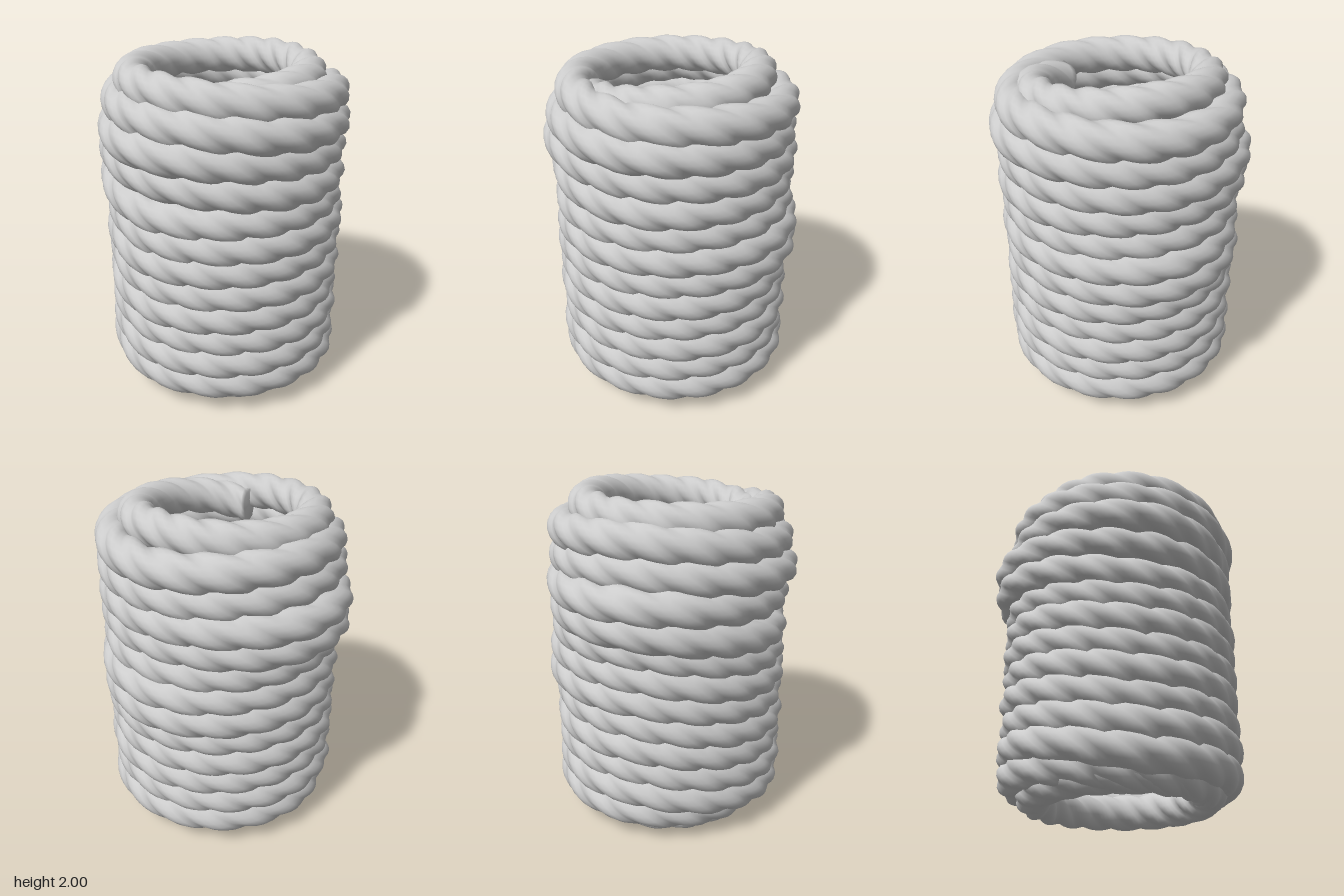
import * as THREE from 'three';

const SIDES = 20, STEPS_PER_TURN = 100;
const TWISTS_PER_TURN = 4.3, STRANDS = 4;
const PITCH = 0.1414;
const CENTRE_Z = 0.03;

// Path of the rope from the top end to the bottom end: [turn, radius, height]
// (whole turns lie at the front, quarter turns at +x)
const PATH = [
  // top loop, its end tucked inside
  [-1.2, 0.45, 1.77], [-1.1, 0.475, 1.815], [-1, 0.485, 1.845], [-0.75, 0.465, 1.89],
  [-0.5, 0.49, 1.865], [-0.25, 0.545, 1.84],
  // sagging upper coils
  [0, 0.6, 1.785], [0.25, 0.595, 1.745], [0.5, 0.595, 1.775], [0.75, 0.6, 1.7],
  [1, 0.61, 1.64], [1.25, 0.595, 1.595], [1.5, 0.595, 1.62], [1.75, 0.6, 1.55],
  [2, 0.6, 1.48], [2.25, 0.595, 1.457], [2.5, 0.6, 1.465], [2.75, 0.595, 1.385],
];
// Lower coils lie level and step down only between the back and -x
for (let n = 3; n <= 11; n++) {
  const y = 1.75 - n * PITCH;
  if (n === 3) PATH.push([3, 0.6, y]);
  else PATH.push([n - 0.25, 0.595, y]);
  PATH.push([n + 0.5, 0.595, y]);
}
// narrower foot loop
PATH.push([11.75, 0.5, 0.13], [12, 0.49, 0.125], [12.25, 0.49, 0.125],
  [12.5, 0.48, 0.11], [12.75, 0.485, 0.125], [12.95, 0.485, 0.14]);

// Loose spots where a coil bulges outwards: [turn, amount]
const BULGES = [[1, 0.02], [1.75, 0.045], [2.5, 0.085], [3.5, 0.07], [5.25, 0.045], [6.25, 0.04]];

function pathAt(turn) {
  let i = 0;
  while (i < PATH.length - 2 && turn > PATH[i + 1][0]) i++;
  const [t0, r0, y0] = PATH[i], [t1, r1, y1] = PATH[i + 1];
  const f = (turn - t0) / (t1 - t0);
  const ease = (f + f * f * (3 - 2 * f)) / 2;
  let r = r0 + (r1 - r0) * f;
  for (const [t, d] of BULGES) r += d * Math.exp(-(((turn - t) / 0.13) ** 2));
  // slight unevenness from coil to coil
  r += 0.006 * Math.sin(turn * 9.1);
  return { r, y: y0 + (y1 - y0) * ease };
}

// Sweeps a lobed, twisting cross-section along the coil
function ropeGeometry() {
  const start = PATH[0][0], end = PATH[PATH.length - 1][0];
  const rings = Math.round((end - start) * STEPS_PER_TURN);
  const pos = [], index = [];
  for (let i = 0; i <= rings; i++) {
    const turn = start + (end - start) * i / rings;
    const a = turn * Math.PI * 2;
    const { r, y } = pathAt(turn);
    for (let j = 0; j < SIDES; j++) {
      const phi = j / SIDES * Math.PI * 2;
      const lobe = Math.abs(Math.cos(STRANDS / 2 * (phi + TWISTS_PER_TURN * a)));
      const q = 0.088 + 0.022 * lobe;
      const R = r + q * Math.cos(phi);
      pos.push(R * Math.sin(a), y + q * Math.sin(phi), R * Math.cos(a) + CENTRE_Z);
    }
  }
  for (let i = 0; i < rings; i++) {
    for (let j = 0; j < SIDES; j++) {
      const k = (j + 1) % SIDES;
      const p = i * SIDES + j, q = i * SIDES + k;
      index.push(p, p + SIDES, q, q, p + SIDES, q + SIDES);
    }
  }
  // Flat ends
  for (const ring of [0, rings]) {
    const turn = ring ? end : start;
    const { r, y } = pathAt(turn);
    const a = turn * Math.PI * 2;
    const c = pos.length / 3, b = ring * SIDES;
    pos.push(r * Math.sin(a), y, r * Math.cos(a) + CENTRE_Z);
    for (let j = 0; j < SIDES; j++) {
      const k = (j + 1) % SIDES;
      if (ring) index.push(c, b + k, b + j);
      else index.push(c, b + j, b + k);
    }
  }
  const g = new THREE.BufferGeometry();
  g.setAttribute('position', new THREE.Float32BufferAttribute(pos, 3));
  g.setIndex(index);
  g.computeVertexNormals();
  return g;
}

export function createModel() {
  const group = new THREE.Group();
  group.name = 'ropeCoil';
  const rope = new THREE.Mesh(
    ropeGeometry(),
    new THREE.MeshStandardMaterial({ color: 0xcccccc, side: THREE.DoubleSide }),
  );
  rope.name = 'coiledRope';
  group.add(rope);
  return group;
}
